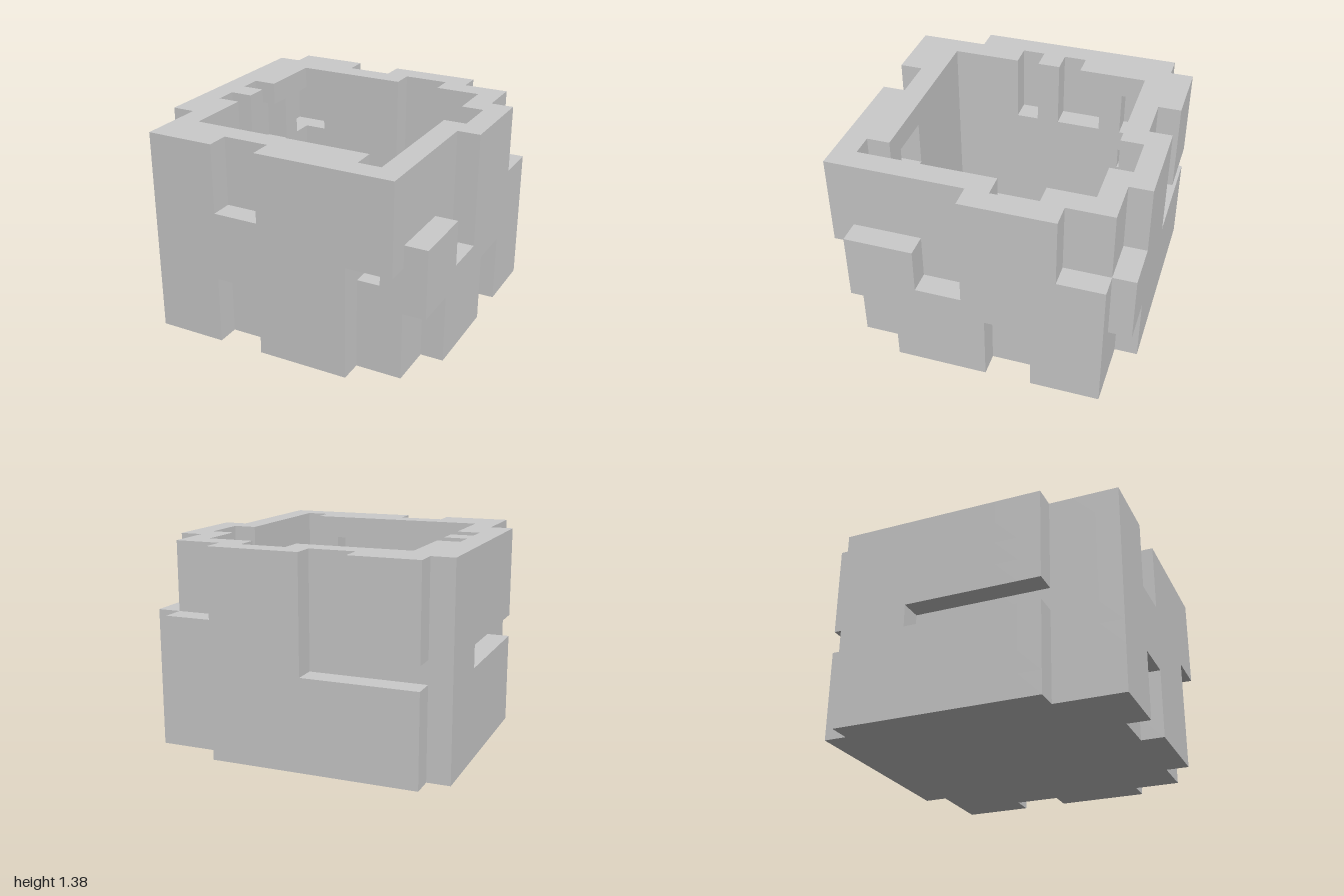
import * as THREE from 'three';

// The box is made of cubes, N x H x N; each wall is two cubes thick
const N = 13, H = 9, U = 2 / N;

// Grooves in the outer and inner layer of each wall: [from, to, bottom, top],
// running along x on the front and back, along z on the sides
const FRONT = {
  outer: [[4, 6, 6, H], [4, 6, 0, 3], [10, 12, 0, 5]],
  inner: [[10, 11, 4, H], [7, 9, 6, 8], [7, 9, 4, 5]],
};
const BACK = {
  outer: [[4, 6, 4, H], [1, 4, 4, 5], [10, 12, 6, H], [10, 12, 0, 3]],
  inner: [[7, 9, 5, H], [1, 3, 6, 8]],
};
const LEFT = {
  outer: [[9, 12, 6, H], [7, 9, 4, H], [1, 3, 6, H], [10, 12, 0, 3], [4, 6, 0, 3]],
  inner: [[4, 6, 5, H], [10, 11, 4, 5]],
};
const RIGHT = {
  outer: [[10, 12, 0, H], [4, 10, 4, 5]],
  inner: [[5, 6, 6, H], [7, 8, 6, H], [4, 6, 6, 8], [1, 3, 6, 8], [2, 3, 4, 5]],
};

// True where a groove passes; depth 0 is the outer layer, 1 the inner layer
function grooved(wall, depth, along, y) {
  const cuts = depth === 0 ? wall.outer : depth === 1 ? wall.inner : [];
  return cuts.some(([a, b, y0, y1]) => along >= a && along < b && y >= y0 && y < y1);
}

function solid(x, y, z) {
  const right = x, left = N - 1 - x, back = z, front = N - 1 - z;
  const dx = Math.min(left, right), dz = Math.min(front, back);
  if (dx < 0 || dz < 0 || y < 0 || y >= H) return false;
  // corner posts are left open in the outer layer
  if (dx === 0 && dz === 0) return false;
  // cavity above a one-cube floor
  if (dx > 1 && dz > 1) return y < 1;
  return !(grooved(FRONT, front, x, y) || grooved(BACK, back, x, y) ||
    grooved(LEFT, left, z, y) || grooved(RIGHT, right, z, y));
}

// Which named part a cube belongs to
function partOf(x, z) {
  if (z >= N - 2) return 'frontWall';
  if (z < 2) return 'backWall';
  if (x >= N - 2) return 'leftWall';
  return x < 2 ? 'rightWall' : 'floor';
}

// Adds the square between a cube and its empty neighbour along one axis
function addFace(out, cell, axis, dir) {
  const u = (axis + 1) % 3, v = (axis + 2) % 3;
  const corners = [[0, 0], [1, 0], [1, 1], [0, 1]].map(([a, b]) => {
    const p = [...cell];
    if (dir > 0) p[axis] += 1;
    p[u] += a;
    p[v] += b;
    return [(p[0] - N / 2) * U, p[1] * U, (p[2] - N / 2) * U];
  });
  if (dir < 0) corners.reverse();
  for (const i of [0, 1, 2, 0, 2, 3]) out.push(...corners[i]);
}

// Skin of all cubes belonging to one part
function partGeometry(name) {
  const positions = [];
  for (let x = 0; x < N; x++)
    for (let y = 0; y < H; y++)
      for (let z = 0; z < N; z++) {
        if (partOf(x, z) !== name || !solid(x, y, z)) continue;
        for (let axis = 0; axis < 3; axis++)
          for (const dir of [-1, 1]) {
            const next = [x, y, z];
            next[axis] += dir;
            if (!solid(...next)) addFace(positions, [x, y, z], axis, dir);
          }
      }
  const geometry = new THREE.BufferGeometry();
  geometry.setAttribute('position', new THREE.Float32BufferAttribute(positions, 3));
  geometry.computeVertexNormals();
  return geometry;
}

export function createModel() {
  const group = new THREE.Group();
  group.name = 'groovedBox';
  const material = new THREE.MeshStandardMaterial({ color: 0xcccccc, flatShading: true });
  for (const name of ['floor', 'frontWall', 'backWall', 'leftWall', 'rightWall']) {
    const mesh = new THREE.Mesh(partGeometry(name), material);
    mesh.name = name;
    group.add(mesh);
  }
  return group;
}
